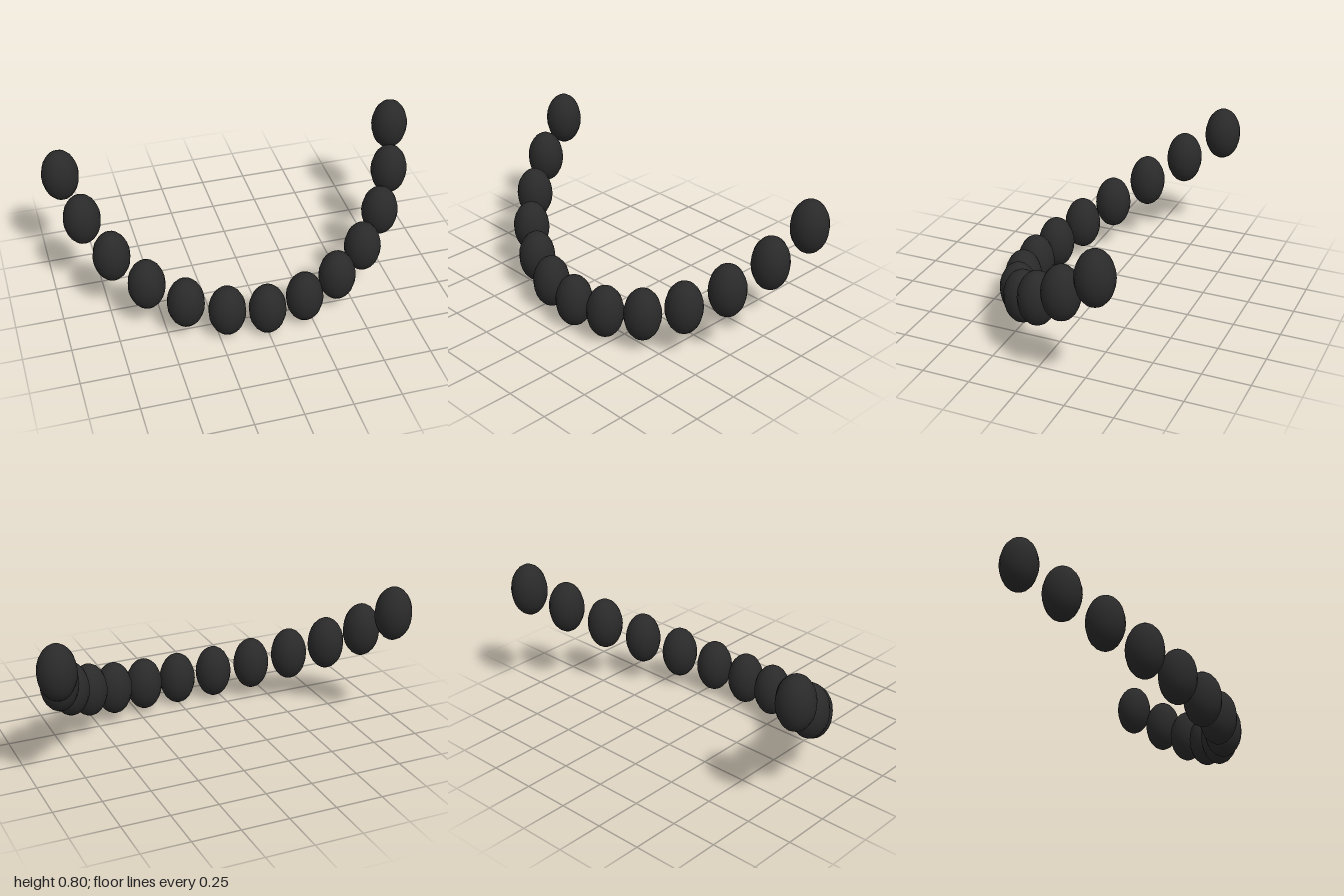
import * as THREE from 'three';

export function createModel() {
  const group = new THREE.Group();
  group.name = 'beadStrand';
  const black = new THREE.MeshStandardMaterial({ color: 0x2a2a2a });
  black.name = 'black';

  // One egg-shaped bead, shared by the whole strand
  const beadGeometry = new THREE.SphereGeometry(1, 16, 12).scale(0.097, 0.143, 0.097);

  // Bead centres from the middle of the strand to its left end
  const centres = [
    [0, 0.145, 0.367],
    [0.206, 0.16, 0.342],
    [0.404, 0.202, 0.272],
    [0.58, 0.273, 0.161],
    [0.725, 0.372, 0.011],
    [0.836, 0.5, -0.168],
    [0.903, 0.654, -0.366],
  ];

  function addBead(name, x, y, z) {
    const bead = new THREE.Mesh(beadGeometry, black);
    bead.name = name;
    bead.position.set(x, y, z);
    group.add(bead);
  }

  // Middle bead, then mirrored pairs
  centres.forEach(([x, y, z], i) => {
    if (i === 0) {
      addBead('middleBead', x, y, z);
      return;
    }
    addBead(`leftBead${i}`, x, y, z);
    addBead(`rightBead${i}`, -x, y, z);
  });

  return group;
}
